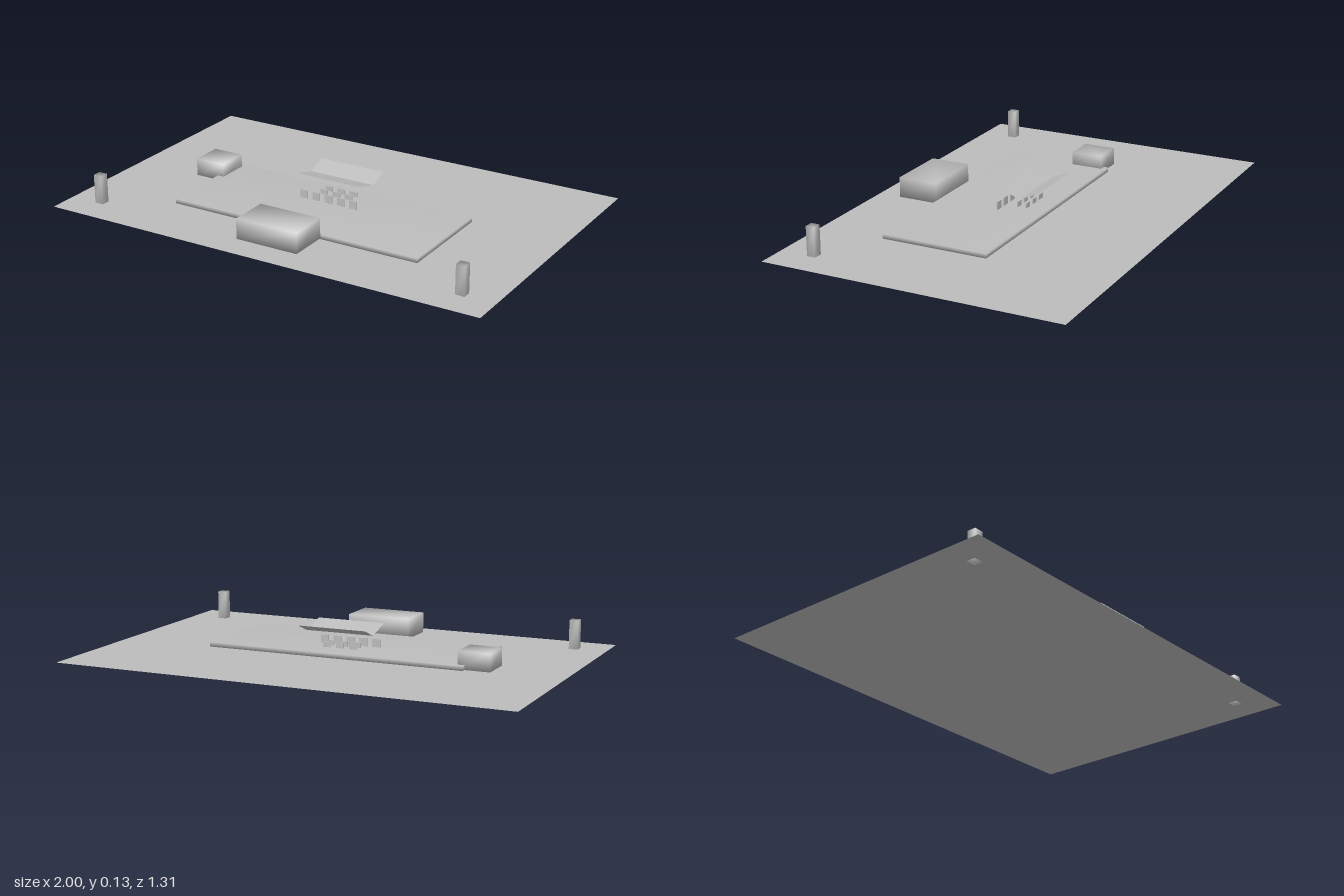
import * as THREE from 'three';
import { mergeVertices } from 'three/addons/utils/BufferGeometryUtils.js';

export function createModel() {
  const group = new THREE.Group();
  const grey = new THREE.MeshStandardMaterial({ color: 0xbcbcbc, side: THREE.DoubleSide });
  grey.name = 'plainGrey';

  const add = (name, geometry) => {
    const mesh = new THREE.Mesh(geometry, grey);
    mesh.name = name;
    group.add(mesh);
    return mesh;
  };

  // Box between limits, with normals shared across its corners
  const softBox = (name, x0, x1, y0, y1, z0, z1) => {
    let g = new THREE.BoxGeometry(x1 - x0, y1 - y0, z1 - z0);
    g.deleteAttribute('normal');
    g.deleteAttribute('uv');
    g = mergeVertices(g);
    g.computeVertexNormals();
    g.translate((x0 + x1) / 2, (y0 + y1) / 2, (z0 + z1) / 2);
    return add(name, g);
  };

  // Flat ground sheet
  const ground = add('ground', new THREE.PlaneGeometry(2, 1.312).rotateX(-Math.PI / 2));
  ground.position.y = 0.001;

  // Low platform and the two blocks beside it
  softBox('platform', -0.58, 0.58, 0.002, 0.022, -0.11, 0.362);
  softBox('frontBlock', -0.145, 0.14, 0.008, 0.097, 0.367, 0.545);
  softBox('sideBlock', -0.69, -0.55, 0.002, 0.078, -0.09, 0.053);

  // Corner posts
  for (const x of [-0.858, 0.852]) {
    softBox('post', x - 0.02, x + 0.02, 0, 0.127, 0.492, 0.53);
  }

  // Canopy of two thin sheets meeting in a valley
  const sheet = (name, zA, yA, zB, yB) => {
    const g = new THREE.PlaneGeometry(0.306, Math.hypot(zB - zA, yB - yA)).rotateX(-Math.PI / 2);
    g.rotateX(-Math.atan2(yB - yA, zB - zA));
    g.translate(-0.002, (yA + yB) / 2, (zA + zB) / 2);
    add(name, g);
  };
  sheet('canopyBack', -0.12, 0.131, -0.04, 0.098);
  sheet('canopyFront', -0.04, 0.098, 0.08, 0.131);

  // Small upright panels under the canopy
  const panelRow = (name, xs, z, y0, y1, w) => {
    for (const x of xs) {
      const p = add(name, new THREE.BoxGeometry(w, y1 - y0, 0.004));
      p.position.set(x, (y0 + y1) / 2, z);
    }
  };
  panelRow('frontPanel', [-0.12, -0.06, 0, 0.06, 0.12], 0.075, 0.025, 0.06, 0.036);
  panelRow('middlePanel', [-0.06, 0, 0.06], 0.01, 0.03, 0.052, 0.036);
  panelRow('rearPanel', [-0.06, 0, 0.06], -0.03, 0.03, 0.052, 0.036);

  return group;
}
